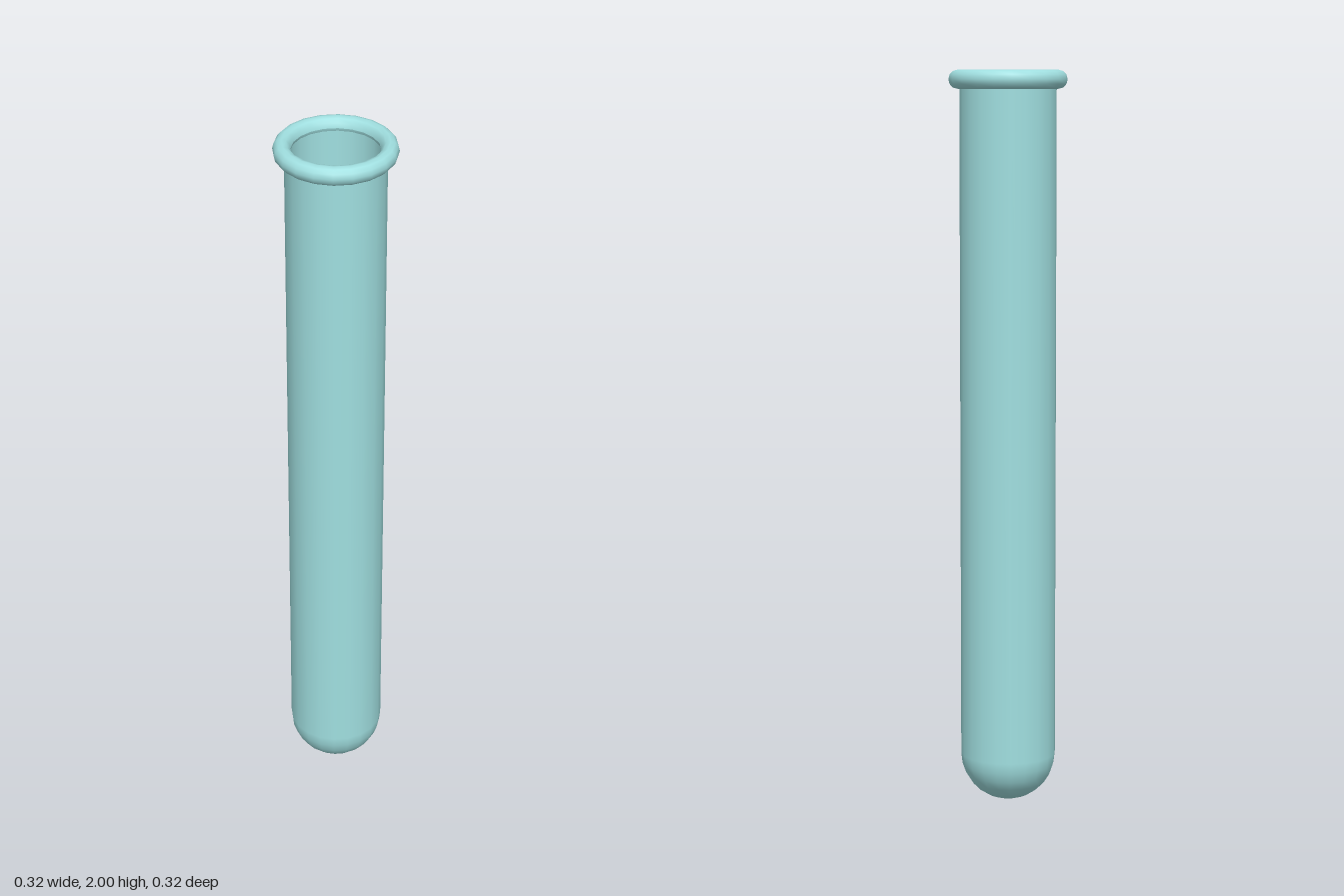
import * as THREE from 'three';

const SIDES = 20;

// Points of a quarter arc from the axis up to radius r
function bowl(r, centreY, steps = 7) {
  const points = [];
  for (let i = 0; i <= steps; i++) {
    const a = (i / steps) * Math.PI / 2;
    points.push(new THREE.Vector2(r * Math.sin(a), centreY - r * Math.cos(a)));
  }
  return points;
}

function lathe(name, points, material) {
  const mesh = new THREE.Mesh(new THREE.LatheGeometry(points, SIDES), material);
  mesh.name = name;
  return mesh;
}

export function createModel() {
  const group = new THREE.Group();
  group.name = 'testTube';
  const glass = new THREE.MeshStandardMaterial({ color: 0xa0dfe0, side: THREE.DoubleSide });
  const grey = new THREE.MeshStandardMaterial({ color: 0xcccccc });

  const outer = 0.13, inner = 0.115, base = 0.132;

  // Round-bottomed tube: outer wall upward, inner wall back down
  const outside = [...bowl(outer, base), new THREE.Vector2(outer, 1.955)];
  const inside = [...bowl(inner, base), new THREE.Vector2(inner, 1.97)];
  group.add(lathe('tubeOuterWall', outside, glass));
  group.add(lathe('tubeInnerWall', inside.reverse(), glass));

  // Flattened bead around the mouth
  const rim = [];
  for (let i = 0; i <= 12; i++) {
    const a = -Math.PI + (i / 12) * Math.PI * 2;
    rim.push(new THREE.Vector2(0.136 + 0.023 * Math.cos(a), 1.975 + 0.025 * Math.sin(a)));
  }
  group.add(lathe('rim', rim, glass));

  // Contents filling the lower half, with a flat surface
  const level = 1.0, r = inner - 0.001;
  group.add(lathe('contents', [...bowl(r, base), new THREE.Vector2(r, level)], grey));
  const surface = new THREE.Mesh(new THREE.CircleGeometry(r, SIDES), grey);
  surface.name = 'contentsSurface';
  surface.rotation.x = -Math.PI / 2;
  surface.position.y = level;
  group.add(surface);

  // Stand the tube exactly on the ground
  group.children.forEach((m) => {
    if (m.name !== 'rim') m.position.y -= base - outer;
  });
  return group;
}
